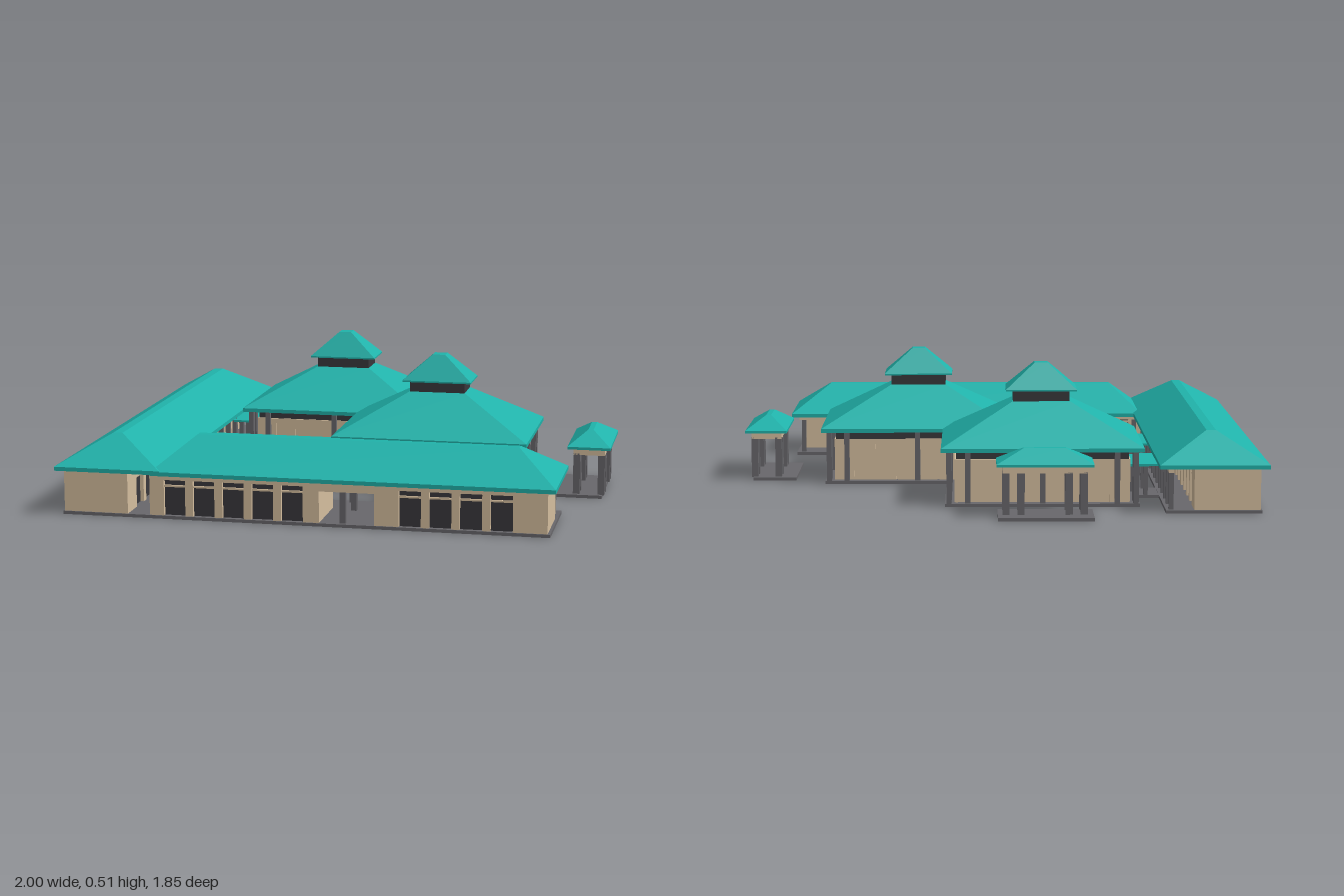
import * as THREE from 'three';

const mat = (color) => new THREE.MeshStandardMaterial({ color, flatShading: true });
const TEAL = mat(0x20b2aa), BEIGE = mat(0xd6bf9f), GREY = mat(0x68676b), DARK = mat(0x39383c);

// Rectangles are [x0, x1, z0, z1].
const inset = ([a, b, c, d], i) => [a + i, b - i, c + i, d - i];

function group(parent, name) {
  const g = new THREE.Group();
  g.name = name;
  parent.add(g);
  return g;
}

function box(parent, name, [x0, x1, z0, z1], y0, y1, material) {
  const geo = new THREE.BoxGeometry(x1 - x0, y1 - y0, z1 - z0);
  geo.translate((x0 + x1) / 2, (y0 + y1) / 2, (z0 + z1) / 2);
  const mesh = new THREE.Mesh(geo, material);
  mesh.name = name;
  parent.add(mesh);
}

// Stack of rectangular rings [rect, y], closed at both ends.
function roof(parent, name, rings) {
  const pos = [], idx = [];
  for (const [[x0, x1, z0, z1], y] of rings) pos.push(x0, y, z1, x1, y, z1, x1, y, z0, x0, y, z0);
  for (let r = 0; r < rings.length - 1; r++) {
    for (let k = 0; k < 4; k++) {
      const a = r * 4 + k, b = r * 4 + (k + 1) % 4;
      idx.push(a, b, b + 4, a, b + 4, a + 4);
    }
  }
  const t = (rings.length - 1) * 4;
  idx.push(0, 2, 1, 0, 3, 2, t, t + 1, t + 2, t, t + 2, t + 3);
  let geo = new THREE.BufferGeometry();
  geo.setAttribute('position', new THREE.Float32BufferAttribute(pos, 3));
  geo.setIndex(idx);
  geo = geo.toNonIndexed();
  geo.computeVertexNormals();
  const mesh = new THREE.Mesh(geo, TEAL);
  mesh.name = name;
  parent.add(mesh);
}

// Roof with a short vertical fascia under its slopes.
const hipRoof = (parent, name, eave, ridge, y0, y1, fascia = 0.015) =>
  roof(parent, name, [[eave, y0], [eave, y0 + fascia], [ridge, y1]]);

function post(parent, x, z, y1, r = 0.011) {
  box(parent, 'post', [x - r, x + r, z - r, z + r], 0.01, y1, GREY);
}

// Long wing: runs along one axis, with sections of solid wall, windows or open passage.
function wing(parent, name, axis, [c0, c1], sections) {
  const g = group(parent, name);
  const rect = (a0, a1, i = 0) => axis === 'x' ? [a0, a1, c0 + i, c1 - i] : [c0 + i, c1 - i, a0, a1];
  for (const [kind, a0, a1, n] of sections) {
    if (kind === 'wall') box(g, 'wall', rect(a0, a1), 0.01, 0.18, BEIGE);
    if (kind === 'passage') {
      box(g, 'passageLintel', rect(a0, a1), 0.13, 0.18, BEIGE);
      for (const c of [c0 + 0.02, c1 - 0.02]) {
        const a = a0 + (a1 - a0) * 0.42;
        axis === 'x' ? post(g, a, c, 0.13) : post(g, c, a, 0.13);
      }
    }
    if (kind === 'windows') {
      box(g, 'windowGlass', rect(a0, a1, 0.014), 0.012, 0.15, DARK);
      box(g, 'windowHeader', rect(a0, a1), 0.146, 0.18, BEIGE);
      box(g, 'windowTransom', rect(a0, a1, 0.006), 0.119, 0.126, BEIGE);
      const step = (a1 - a0) / n;
      for (let i = 0; i <= n; i++) {
        const a = a0 + i * step;
        box(g, 'windowPier', rect(Math.max(a0, a - 0.015), Math.min(a1, a + 0.015)), 0.01, 0.15, BEIGE);
      }
    }
  }
  return g;
}

// Square hall: panelled walls, clerestory band, post gallery and two-tier roof.
function hall(parent, name, cx, cz) {
  const g = group(parent, name);
  const around = (hx, hz) => [cx - hx, cx + hx, cz - hz, cz + hz];
  const eave = around(0.38, 0.277), wall = inset(eave, 0.05);
  box(g, 'floor', inset(eave, 0.015), 0, 0.012, GREY);
  box(g, 'clerestory', inset(wall, 0.006), 0.01, 0.215, DARK);
  box(g, 'wallBand', wall, 0.155, 0.175, BEIGE);
  const [x0, x1, z0, z1] = wall, nx = 8, nz = 6, gap = 0.004;
  for (let i = 0; i < nx; i++) {
    const s = (x1 - x0) / nx, a = x0 + i * s;
    box(g, 'wallPanel', [a + gap, a + s - gap, z0, z1], 0.01, 0.155, BEIGE);
  }
  for (let i = 0; i < nz; i++) {
    const s = (z1 - z0) / nz, a = z0 + i * s;
    box(g, 'wallPanel', [x0, x1, a + gap, a + s - gap], 0.01, 0.155, BEIGE);
  }
  for (const s of [-1, 1]) {
    for (const f of [-1, -0.8, 0, 0.8, 1]) {
      post(g, cx + f * 0.35, cz + s * 0.247, 0.212, 0.01);
      if (Math.abs(f) < 1) post(g, cx + s * 0.35, cz + f * 0.247, 0.212, 0.01);
    }
  }
  hipRoof(g, 'mainRoof', eave, around(0.11, 0.07), 0.208, 0.372);
  box(g, 'lanternBand', around(0.108, 0.068), 0.365, 0.418, DARK);
  hipRoof(g, 'lanternRoof', around(0.135, 0.086), around(0.025, 0.028), 0.412, 0.515, 0.006);
}

// Free-standing entrance shelter on paired posts.
function pavilion(parent, name, slab, eave, ridge) {
  const g = group(parent, name);
  const [x0, x1, z0, z1] = inset(eave, 0.035);
  box(g, 'slab', slab, 0, 0.012, GREY);
  box(g, 'beam', inset(eave, 0.022), 0.165, 0.195, BEIGE);
  const alongX = x1 - x0 > z1 - z0;
  for (const x of [x0, x1]) for (const z of [z0, z1]) {
    post(g, x, z, 0.17, 0.013);
    if (alongX) post(g, x + (x === x0 ? 0.055 : -0.055), z, 0.17, 0.013);
    else post(g, x, z + (z === z0 ? 0.055 : -0.055), 0.17, 0.013);
  }
  hipRoof(g, 'roof', eave, ridge, 0.19, 0.25, 0.01);
}

// Covered walkway with a low gable roof.
function walkway(parent, name, axis, rect) {
  const g = group(parent, name);
  const [x0, x1, z0, z1] = rect, mx = (x0 + x1) / 2, mz = (z0 + z1) / 2;
  const ridge = axis === 'x' ? [x0, x1, mz - 0.004, mz + 0.004] : [mx - 0.004, mx + 0.004, z0, z1];
  box(g, 'floor', axis === 'x' ? [x0, x1, z0 + 0.01, z1 - 0.01] : [x0 + 0.01, x1 - 0.01, z0, z1], 0, 0.011, GREY);
  hipRoof(g, 'roof', rect, ridge, 0.125, 0.16, 0.008);
  const len = axis === 'x' ? x1 - x0 : z1 - z0, n = Math.max(1, Math.round(len / 0.13));
  for (let i = 0; i < n; i++) for (const s of [-0.07, 0.07]) {
    const t = (i + 0.5) * len / n;
    axis === 'x' ? post(g, x0 + t, mz + s, 0.127, 0.008) : post(g, mx + s, z0 + t, 0.127, 0.008);
  }
}

export function createModel() {
  const model = new THREE.Group();
  model.name = 'pavilionComplex';

  // West wing with a veranda on its inner side
  const west = wing(model, 'westWing', 'z', [-0.97, -0.725], [
    ['wall', -0.78, -0.7], ['windows', -0.7, -0.03, 6], ['wall', -0.03, 0], ['passage', 0, 0.18],
    ['wall', 0.18, 0.33], ['windows', 0.33, 0.8, 4], ['wall', 0.8, 0.895],
  ]);
  box(west, 'floor', [-0.975, -0.62, -0.79, 0.9], 0, 0.012, GREY);
  box(west, 'verandaBeam', [-0.65, -0.63, -0.78, 0.55], 0.15, 0.18, BEIGE);
  for (let i = 0; i <= 12; i++) post(west, -0.64, -0.765 + i * 0.11, 0.152, 0.009);
  hipRoof(west, 'roof', [-1, -0.595, -0.81, 0.92], [-0.815, -0.78, -0.65, 0.77], 0.168, 0.29);

  // South wing with a veranda facing the court
  const south = wing(model, 'southWing', 'x', [0.655, 0.895], [
    ['wall', -0.64, -0.6], ['windows', -0.6, -0.045, 5], ['wall', -0.045, 0], ['passage', 0, 0.205],
    ['wall', 0.205, 0.28], ['windows', 0.28, 0.725, 4], ['wall', 0.725, 0.835],
  ]);
  box(south, 'floor', [-0.62, 0.845, 0.53, 0.9], 0, 0.012, GREY);
  box(south, 'verandaBeam', [-0.64, 0.835, 0.545, 0.565], 0.15, 0.18, BEIGE);
  for (let i = 0; i <= 13; i++) post(south, -0.6 + i * 0.109, 0.555, 0.152, 0.009);
  hipRoof(south, 'roof', [-0.63, 0.865, 0.51, 0.92], [-0.5, 0.71, 0.697, 0.732], 0.165, 0.288);

  // Two halls
  hall(model, 'northHall', -0.17, -0.395);
  hall(model, 'eastHall', 0.31, 0.091);

  // Entrance pavilions
  pavilion(model, 'northPavilion', [-0.35, 0, -0.93, -0.755], [-0.35, 0.005, -0.89, -0.73], [-0.25, -0.095, -0.82, -0.8]);
  pavilion(model, 'eastPavilion', [0.797, 0.97, -0.085, 0.265], [0.835, 1, -0.085, 0.27], [0.905, 0.925, 0.015, 0.17]);

  // Covered walkways between the buildings
  walkway(model, 'courtWalkway', 'x', [-0.64, -0.02, 0, 0.18]);
  walkway(model, 'northWalkway', 'x', [-0.64, -0.5, -0.49, -0.305]);
  walkway(model, 'southWalkway', 'z', [0.22, 0.405, 0.32, 0.555]);

  return model;
}
